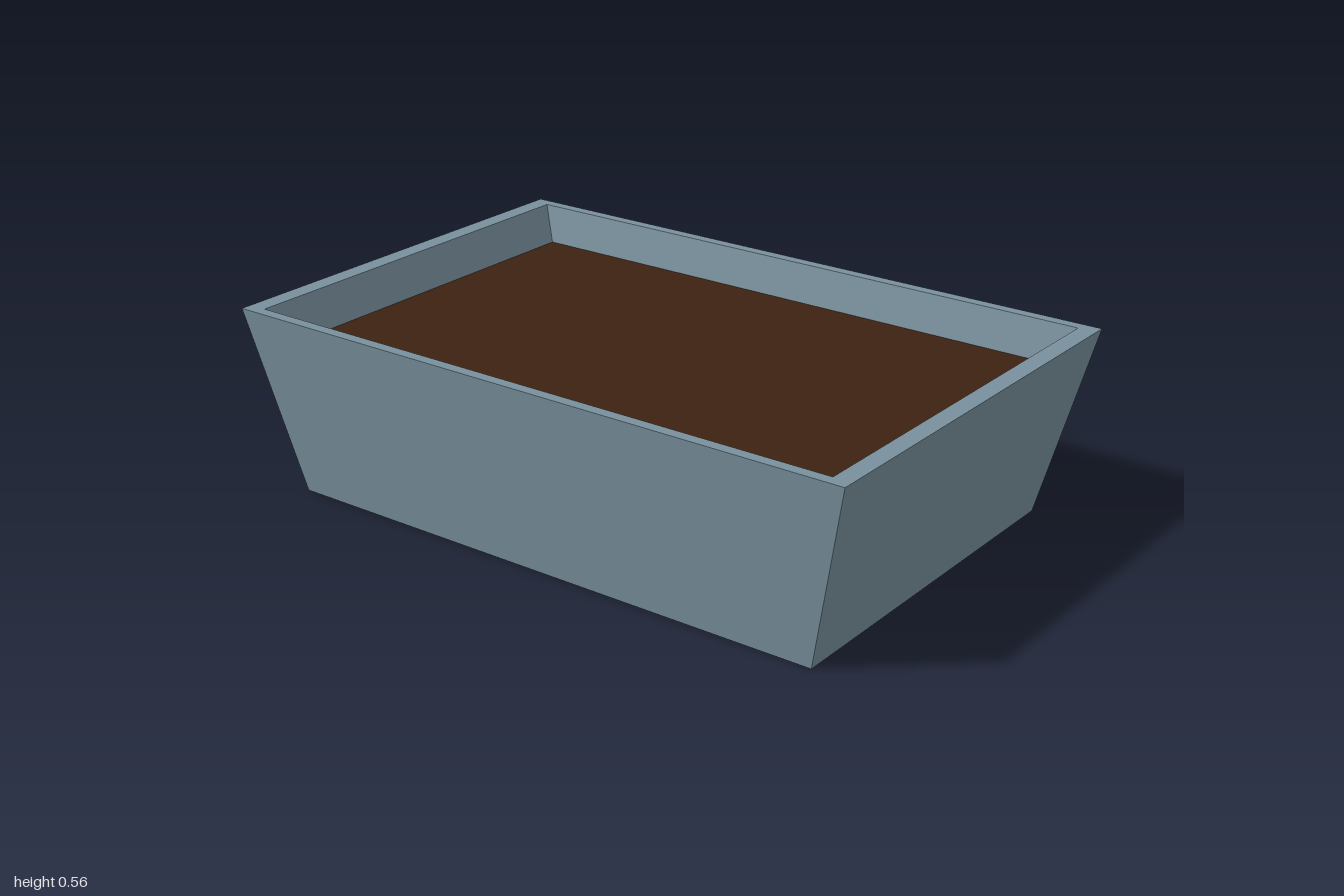
import * as THREE from 'three';

// Four-sided loft through rectangular rings [halfX, y, halfZ]
function loftRings(rings, color, name) {
  const corners = [[1, 1], [1, -1], [-1, -1], [-1, 1]];
  const at = ([hx, y, hz], k) => [hx * corners[k % 4][0], y, hz * corners[k % 4][1]];
  const pos = [];
  for (let i = 0; i < rings.length - 1; i++) {
    for (let k = 0; k < 4; k++) {
      const a = at(rings[i], k), b = at(rings[i], k + 1);
      const c = at(rings[i + 1], k + 1), d = at(rings[i + 1], k);
      pos.push(...a, ...b, ...c, ...a, ...c, ...d);
    }
  }
  const geo = new THREE.BufferGeometry();
  geo.setAttribute('position', new THREE.Float32BufferAttribute(pos, 3));
  geo.computeVertexNormals();
  const mesh = new THREE.Mesh(geo, new THREE.MeshStandardMaterial({ color, flatShading: true }));
  mesh.name = name;
  return mesh;
}

// Flat rectangle facing up or down
function panel(hx, y, hz, up, color, name) {
  const geo = new THREE.PlaneGeometry(2 * hx, 2 * hz).rotateX(up ? -Math.PI / 2 : Math.PI / 2);
  const mesh = new THREE.Mesh(geo, new THREE.MeshStandardMaterial({ color, flatShading: true }));
  mesh.position.y = y;
  mesh.name = name;
  return mesh;
}

export function createModel() {
  const group = new THREE.Group();
  group.name = 'planter';
  const stone = 0x78909c, earth = 0x3e2212;
  const H = 0.555, soilY = 0.445;
  const base = [0.87, 0, 0.567], lip = [1, H, 0.65];
  const innerLip = [0.945, H, 0.616], soilEdge = [0.9, soilY, 0.586];

  // Tapered outer walls, flat rim and sloping inner walls
  group.add(loftRings([base, lip], stone, 'outerWalls'));
  group.add(loftRings([lip, innerLip], stone, 'rim'));
  group.add(loftRings([innerLip, soilEdge], stone, 'innerWalls'));

  // Underside and soil surface
  group.add(panel(base[0], 0, base[2], false, stone, 'base'));
  group.add(panel(soilEdge[0], soilY, soilEdge[2], true, earth, 'soil'));
  return group;
}
